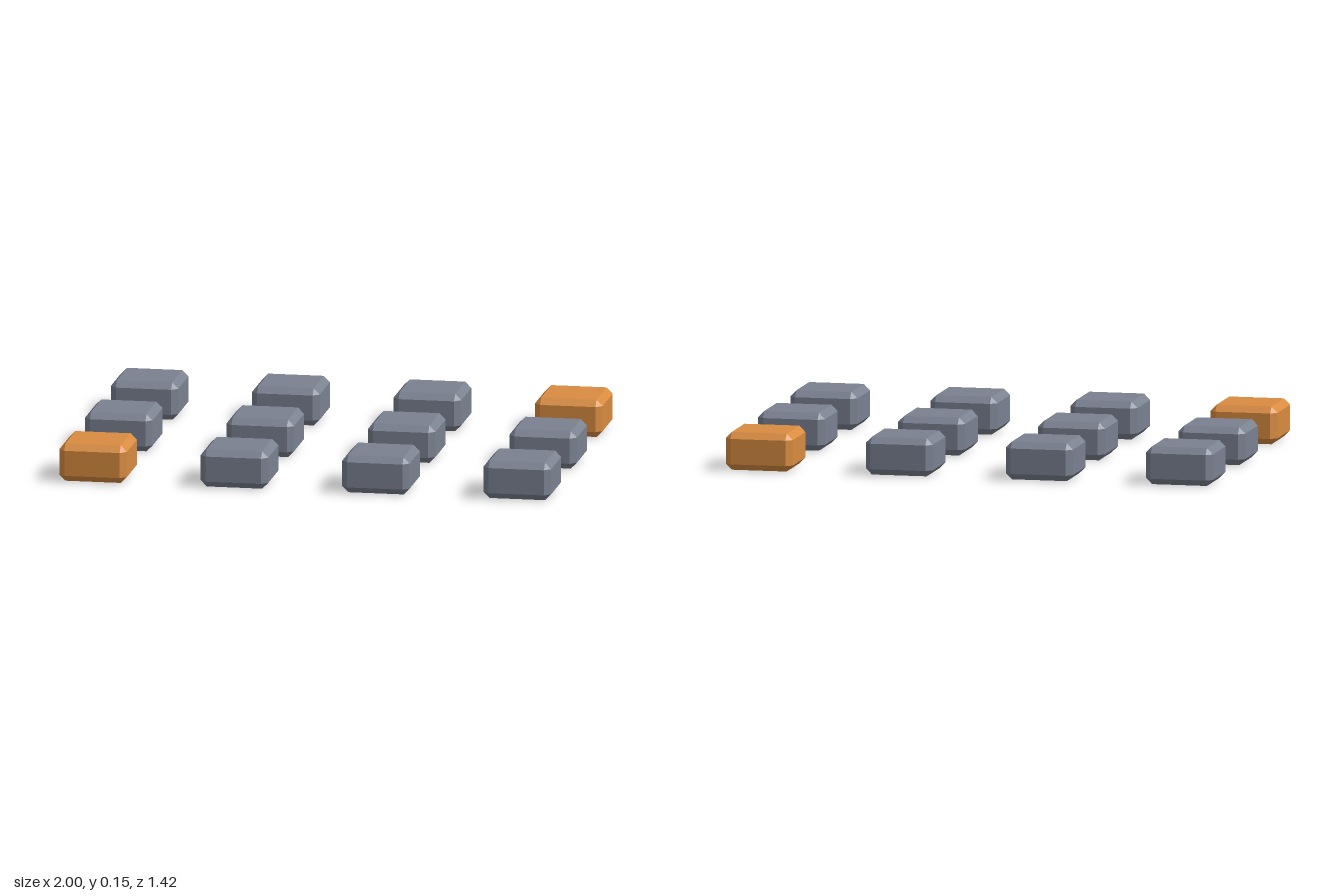
import * as THREE from 'three';
import { ConvexGeometry } from 'three/addons/geometries/ConvexGeometry.js';

// Box with every edge bevelled flat: three corner points per box corner
function chamferedBox(w, h, d, c) {
  const points = [];
  for (const sx of [-1, 1]) for (const sy of [-1, 1]) for (const sz of [-1, 1]) {
    for (let axis = 0; axis < 3; axis++) {
      const inset = [c, c, c];
      inset[axis] = 0;
      points.push(new THREE.Vector3(
        sx * (w / 2 - inset[0]), sy * (h / 2 - inset[1]), sz * (d / 2 - inset[2])));
    }
  }
  return new ConvexGeometry(points);
}

export function createModel() {
  const model = new THREE.Group();
  model.name = 'keypad';

  const size = 0.275, height = 0.153, pitch = 0.575;
  const geometry = chamferedBox(size, height, size, 0.025);
  const slate = new THREE.MeshStandardMaterial({ color: 0x7a8190, flatShading: true });
  const orange = new THREE.MeshStandardMaterial({ color: 0xd98c40, flatShading: true });

  // Four columns by three rows, with two opposite corner keys accented
  for (let row = 0; row < 3; row++) {
    for (let col = 0; col < 4; col++) {
      const accent = (row === 0 && col === 3) || (row === 2 && col === 0);
      const key = new THREE.Mesh(geometry, accent ? orange : slate);
      key.name = `${accent ? 'accentKey' : 'key'}Row${row + 1}Column${col + 1}`;
      key.position.set((col - 1.5) * pitch, height / 2, (row - 1) * pitch);
      model.add(key);
    }
  }
  return model;
}
